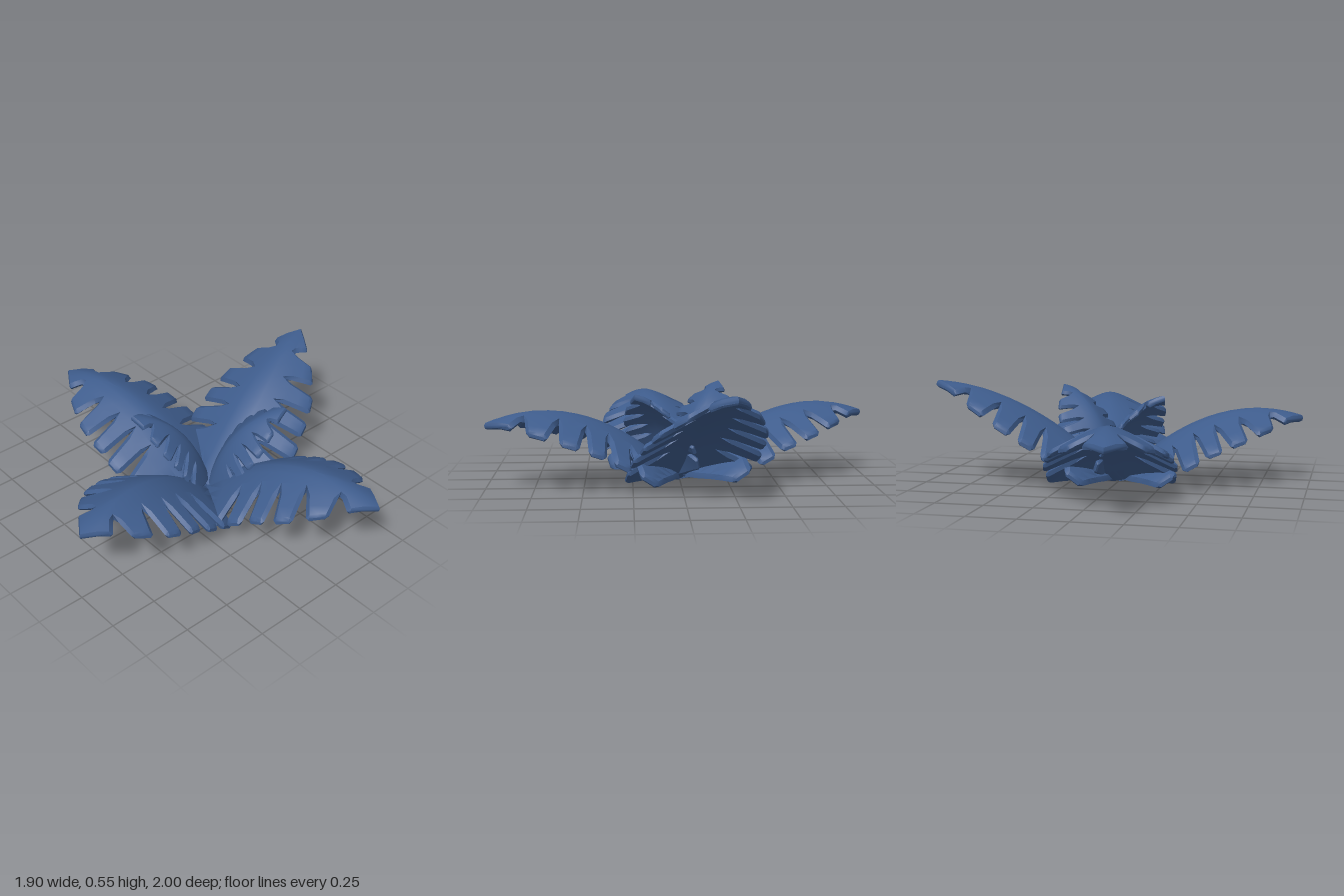
import * as THREE from 'three';
import { toCreasedNormals } from 'three/addons/utils/BufferGeometryUtils.js';

// Half-leaf plan as [along, across]; rib points, notch points and finger ends
const RIB = [0, 0.2, 0.32, 0.43, 0.54, 0.68, 1];
const NOTCH = [[0.07, 0.13], [0.295, 0.12], [0.405, 0.11], [0.515, 0.11], [0.645, 0.09], [0.81, 0.05]];
const ENDS = [
  [[0.2, 0.33], [0.29, 0.335]],
  [[0.335, 0.34], [0.42, 0.335]],
  [[0.455, 0.32], [0.54, 0.315]],
  [[0.585, 0.3], [0.675, 0.27]],
  [[0.73, 0.235], [0.82, 0.175]],
  [[0.885, 0.11], [1, 0]],
];
const ROWS = [0, 0.5, 1, 1.3, 1.65, 1.93, 2];
const HALF_THICK = 0.019;
const BEVEL = 0.016;

const mix = (p, q, t) => [p[0] + (q[0] - p[0]) * t, p[1] + (q[1] - p[1]) * t];
// Walk an edge from the rib (0) past the notch (1) to the finger end (2)
const walk = (rib, notch, end, s) => (s <= 1 ? mix(rib, notch, s) : mix(notch, end, s - 1));

// Arched leaf: the midrib rises then curls over, and both sides droop from it
function leafGeometry(rise, curl, length, thick = 1) {
  const positions = [];
  const place = ([u, v], w, side) => {
    const r = u * length;
    const slope = rise - 2 * curl * r;
    const n = Math.hypot(slope, 1);
    const y = 0.02 + rise * r - curl * r * r - 0.52 * (Math.hypot(v, 0.05) - 0.05);
    return [v * side, y + w / n, r - (w * slope) / n];
  };

  for (const side of [1, -1]) {
    const tri = (a, b, c) => positions.push(...a, ...(side > 0 ? b : c), ...(side > 0 ? c : b));

    ENDS.forEach(([endA, endB], i) => {
      const isTip = i === ENDS.length - 1;
      const openA = i === 0;
      const notchB = isTip ? [0.85, 0] : NOTCH[i + 1];
      const ribB = [isTip ? RIB[i] : RIB[i + 1], 0];

      // Eight-sided bevelled cross-section at each row
      const rings = ROWS.map((s) => {
        const a = walk([RIB[i], 0], NOTCH[i], endA, s);
        const b = walk(ribB, notchB, endB, s);
        const last = s === 2;
        const width = Math.hypot(b[0] - a[0], b[1] - a[1]) || 1;
        const inset = Math.min(0.3, BEVEL / width);
        const inA = s > 1 || openA ? inset : 0;
        const inB = s > 1 && !isTip ? inset : 0;
        const topA = mix(a, b, inA);
        const topB = mix(b, a, inB);
        const mid = mix(a, b, 0.5);
        const eA = last ? mix(a, b, inA * 0.7) : a;
        const eB = last ? mix(b, a, inB * 0.7) : b;
        const h = HALF_THICK * thick * (last ? 0.45 : 1);
        return [
          [topA, h], [mid, h], [topB, h], [eB, 0],
          [topB, -h], [mid, -h], [topA, -h], [eA, 0],
        ].map(([p, w]) => place(p, w, side));
      });

      // Skin the rows, leaving out walls where neighbouring fingers join
      for (let r = 0; r < ROWS.length - 1; r++) {
        const joined = ROWS[r + 1] <= 1;
        for (let j = 0; j < 8; j++) {
          const wallB = j === 2 || j === 3;
          const wallA = j >= 6;
          if (wallB && (joined || isTip)) continue;
          if (wallA && joined && !openA) continue;
          const k = (j + 1) % 8;
          tri(rings[r][j], rings[r][k], rings[r + 1][k]);
          tri(rings[r][j], rings[r + 1][k], rings[r + 1][j]);
        }
      }
      const end = rings[rings.length - 1];
      for (let j = 1; j < 7; j++) tri(end[0], end[j], end[j + 1]);
    });
  }

  const geometry = new THREE.BufferGeometry();
  geometry.setAttribute('position', new THREE.Float32BufferAttribute(positions, 3));
  return toCreasedNormals(geometry, 0.7);
}

export function createModel() {
  const model = new THREE.Group();
  model.name = 'leafyPlant';
  const leafBlue = new THREE.MeshStandardMaterial({ color: 0x3e5c8c });
  leafBlue.name = 'leafBlue';

  // Place a leaf from its base towards the heading (dx, dz)
  function addLeaf(name, geometry, base, dx, dz, tilt = 0, scale = 1) {
    const leaf = new THREE.Mesh(geometry, leafBlue);
    leaf.name = name;
    leaf.position.set(...base);
    leaf.rotation.set(-tilt, Math.atan2(dx, dz), 0, 'YXZ');
    leaf.scale.setScalar(scale);
    model.add(leaf);
  }

  // Four large spreading leaves
  const spreading = leafGeometry(1.03, 0.7, 1.02);
  addLeaf('frontLeaf', spreading, [0.05, 0, 0], 0.23, 0.99);
  addLeaf('backLeaf', spreading, [0.03, 0, 0], -0.19, -1);
  addLeaf('rightLeaf', leafGeometry(1.03, 0.7, 0.98), [0, 0, 0], -0.95, 0.21);
  addLeaf('leftLeaf', leafGeometry(1.04, 0.51, 0.96), [0.01, 0, 0.02], 0.93, -0.24);

  // Two small upright leaves in the middle
  const young = leafGeometry(1.03, 0.7, 1, 1.3);
  addLeaf('smallBackLeaf', young, [0.05, 0.02, -0.03], -0.3, -0.18, 0.54, 0.59);
  addLeaf('smallFrontLeaf', young, [0.04, 0.02, 0.02], 0.3, 0.2, 0.54, 0.59);

  return model;
}
